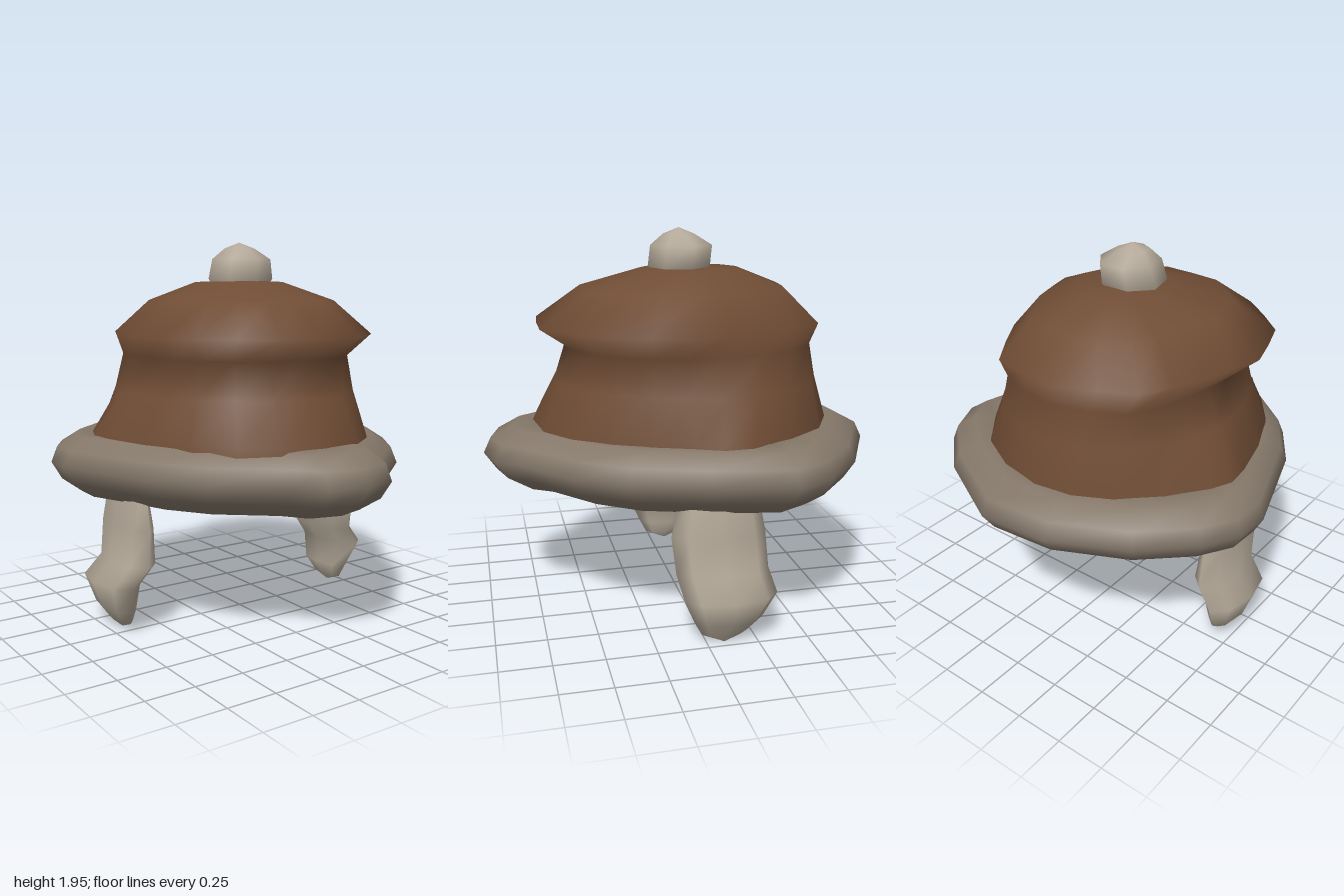
import * as THREE from 'three';

const mat = (name, color, side = THREE.FrontSide) => {
  const m = new THREE.MeshStandardMaterial({ color, side });
  m.name = name;
  return m;
};

// Skin closed rings of [x, y, z]; rings run upward on the outside, points run counterclockwise from above.
function loft(rings, closed = false) {
  const n = rings[0].length, index = [];
  const last = closed ? rings.length : rings.length - 1;
  for (let i = 0; i < last; i++) {
    const k = (i + 1) % rings.length;
    for (let j = 0; j < n; j++) {
      const a = i * n + j, b = i * n + (j + 1) % n;
      const d = k * n + j, c = k * n + (j + 1) % n;
      index.push(a, b, c, a, c, d);
    }
  }
  const g = new THREE.BufferGeometry();
  g.setAttribute('position', new THREE.Float32BufferAttribute(rings.flat(2), 3));
  g.setIndex(index);
  g.computeVertexNormals();
  return g;
}

// Oval ring filling the given x and z limits
function oval(y, x0, x1, z0, z1, sides) {
  return Array.from({ length: sides }, (_, j) => {
    const a = (j / sides) * Math.PI * 2;
    return [(x0 + x1) / 2 + Math.sin(a) * (x1 - x0) / 2, y, (z0 + z1) / 2 + Math.cos(a) * (z1 - z0) / 2];
  });
}

// Double the points of an [x, z] outline; roundness 0 keeps its sides straight
function refine(outline, roundness) {
  const points = outline.map(([x, z]) => new THREE.Vector3(x, 0, z));
  const curve = new THREE.CatmullRomCurve3(points, true, 'catmullrom', roundness);
  return curve.getPoints(outline.length * 2).slice(0, -1).map((p) => [p.x, p.z]);
}

const at = (outline, y) => outline.map(([x, z]) => [x, y, z]);
const mix = (a, b, t) => a.map(([x, z], i) => [x + (b[i][0] - x) * t, z + (b[i][1] - z) * t]);
const shrink = (a, s, cx, cz) => a.map(([x, z]) => [cx + x * s, cz + z * s]);

export function createModel() {
  const model = new THREE.Group();
  model.name = 'hat';
  const leather = mat('brown leather', 0x704d35, THREE.DoubleSide);
  const brimFur = mat('dark fur', 0x85786a);
  const paleFur = mat('pale fur', 0xb3a898);
  const add = (name, geometry, material) => {
    const mesh = new THREE.Mesh(geometry, material);
    mesh.name = name;
    model.add(mesh);
  };

  // Crown: flared base, narrow waist, overhanging cap; open underneath
  const base = refine([[0.2, 0.71], [0.5, 0.42], [0.66, 0.06], [0.72, -0.22], [0.45, -0.64], [0, -0.8],
    [-0.38, -0.68], [-0.69, -0.34], [-0.72, -0.1], [-0.55, 0.4], [-0.25, 0.7]], 0.5);
  const waist = refine([[0.18, 0.55], [0.43, 0.36], [0.55, 0.06], [0.52, -0.32], [0.31, -0.62], [-0.03, -0.71],
    [-0.38, -0.58], [-0.5, -0.28], [-0.53, 0], [-0.45, 0.32], [-0.2, 0.54]], 0.4);
  const bulge = refine([[0.2, 0.71], [0.53, 0.43], [0.65, 0.06], [0.55, -0.32], [0.31, -0.67], [-0.08, -0.74],
    [-0.44, -0.56], [-0.58, -0.25], [-0.67, 0.07], [-0.55, 0.43], [-0.25, 0.69]], 0.1);
  add('crown', loft([
    at(base, 0.82), at(base, 0.99), at(mix(base, waist, 0.65), 1.2), at(waist, 1.38), at(bulge, 1.49),
    at(shrink(bulge, 0.72, 0.02, -0.03), 1.66),
    at(shrink(bulge, 0.34, 0.04, -0.07), 1.755),
    at(shrink(bulge, 0.001, 0.01, -0.03), 1.765),
  ]), leather);

  // Brim: thick fur roll around an egg-shaped outline, narrowing to the front
  const rim = [[0.02, 1], [0.2, 0.95], [0.28, 0.84], [0.55, 0.62], [0.72, 0.38], [0.84, 0], [0.91, -0.38],
    [0.82, -0.57], [0.59, -0.78], [0.16, -1], [-0.2, -0.97], [-0.57, -0.79], [-0.8, -0.57], [-0.9, -0.4],
    [-0.91, -0.22], [-0.82, 0.05], [-0.73, 0.32], [-0.57, 0.57], [-0.27, 0.82], [-0.17, 0.95]];
  const section = [[0.26, 0.68], [0.15, 0.675], [0.05, 0.75], [0, 0.84], [0.03, 0.92], [0.12, 0.98],
    [0.23, 0.99], [0.31, 0.92], [0.325, 0.79]];
  add('brim', loft(section.map(([inset, y]) => rim.map(([x, z]) => {
    const r = Math.hypot(x, z + 0.1);
    const s = 1 - inset * (1 + 0.25 * z * z) / r;
    return [x * s, y, (z + 0.1) * s - 0.1];
  })), true), brimFur);

  // Ear flaps: rows of y, back and front z, each with its own x limits
  const depth = [[0.01, -0.1, -0.08], [0.05, -0.2, 0.02], [0.12, -0.28, 0.06], [0.26, -0.34, 0.12],
    [0.36, -0.32, 0.14], [0.55, -0.3, 0.165], [0.78, -0.26, 0.12]];
  const flap = (xs) => loft(depth.map(([y, z0, z1], i) => oval(y, xs[i][0], xs[i][1], z0, z1, 8)));
  add('rightEarFlap', flap([[-0.675, -0.665], [-0.72, -0.64], [-0.77, -0.62], [-0.82, -0.61],
    [-0.73, -0.535], [-0.72, -0.56], [-0.68, -0.59]]), paleFur);
  add('leftEarFlap', flap([[0.695, 0.705], [0.66, 0.73], [0.63, 0.77], [0.64, 0.84],
    [0.56, 0.75], [0.56, 0.75], [0.56, 0.7]]), paleFur);

  // Pompom
  add('pompom', loft([
    oval(1.68, -0.1, 0.12, -0.13, 0.09, 7), oval(1.77, -0.16, 0.19, -0.18, 0.14, 7),
    oval(1.87, -0.13, 0.18, -0.19, 0.13, 7), oval(1.925, -0.07, 0.09, -0.1, 0.06, 7),
    oval(1.955, 0.009, 0.011, -0.021, -0.019, 7),
  ]), paleFur);

  return model;
}
